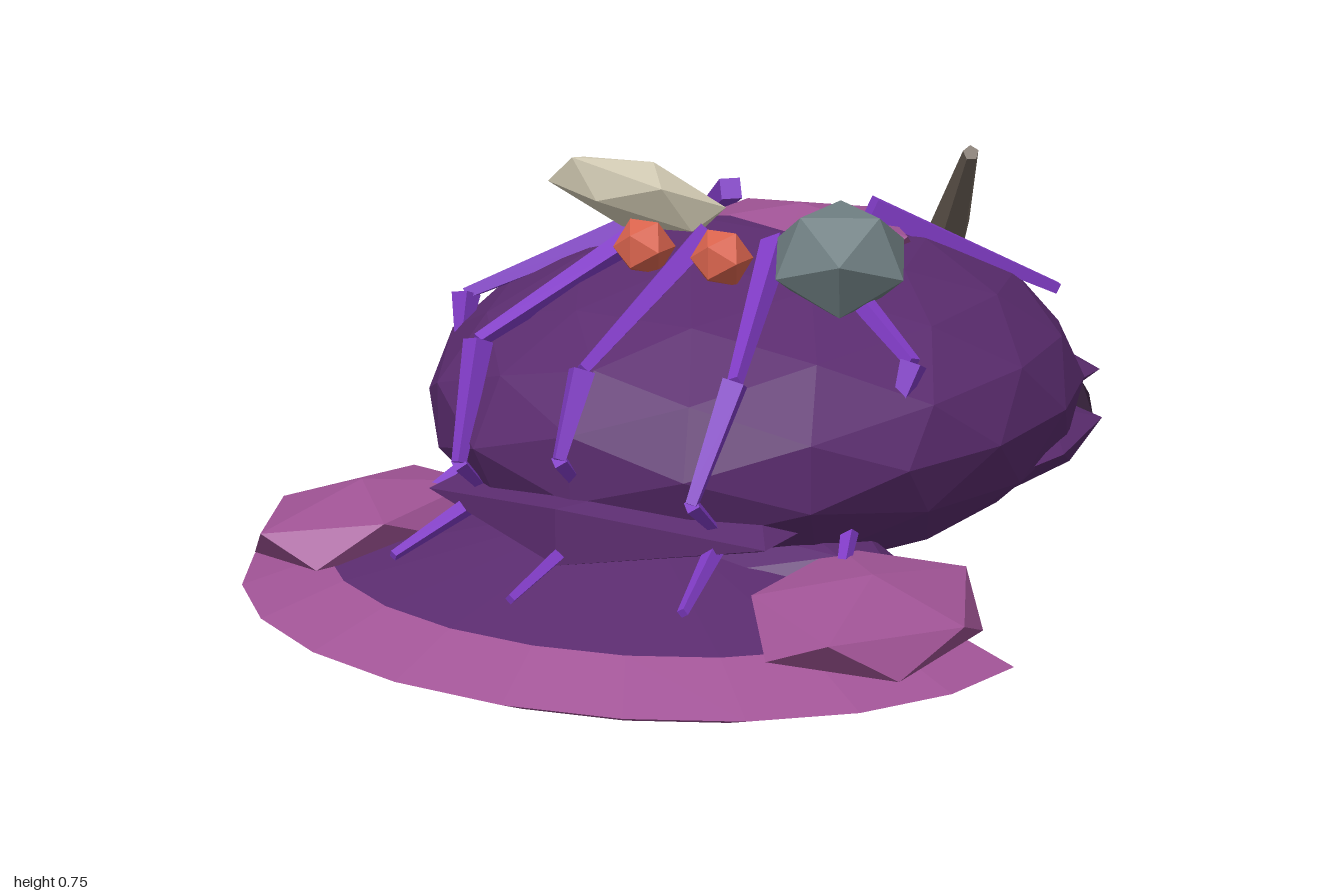
import * as THREE from 'three';

const mat = (name, color) => Object.assign(new THREE.MeshStandardMaterial({ color, flatShading: true }), { name });
const V = (x, y, z) => new THREE.Vector3(x, y, z);
const POLE = -1.017; // tips an icosahedron so that one corner points up

export function createModel() {
  const model = new THREE.Group();
  model.name = 'oozeCreature';
  const purple = mat('slimePurple', 0x5b2c6f);
  const dark = mat('tailDark', 0x352039);
  const pink = mat('rimPink', 0xa15496);
  const violet = mat('veinViolet', 0x813cc6);
  const red = mat('eyeRed', 0xd9634d);
  const grey = mat('stoneGrey', 0x6f7f82);
  const bone = mat('boneCream', 0xddd5bd);
  const wood = mat('woodBrown', 0x766a5f);

  function add(name, geometry, material, pos = [0, 0, 0]) {
    const mesh = new THREE.Mesh(geometry, material);
    mesh.name = name;
    mesh.position.set(...pos);
    model.add(mesh);
    return mesh;
  }

  // Faceted ellipsoid; lump pushes the corners in and out by a smooth rule
  function blob(name, material, pos, size, { detail = 1, lump = 0, turn = 0, tip = 0 } = {}) {
    const g = new THREE.IcosahedronGeometry(1, detail).rotateX(tip).rotateY(turn);
    const p = g.attributes.position;
    for (let i = 0; i < p.count; i++) {
      const v = V().fromBufferAttribute(p, i);
      v.multiplyScalar(1 + lump * Math.sin(5 * v.x + 2 * pos[2]) * Math.cos(4 * v.z + 3 * v.y));
      p.setXYZ(i, v.x * size[0], v.y * size[1], v.z * size[2]);
    }
    g.computeVertexNormals();
    return add(name, g, material, pos);
  }

  // Tapered stick between two points
  function spike(name, material, a, b, ra, rb, sides = 4) {
    const d = b.clone().sub(a);
    const m = add(name, new THREE.CylinderGeometry(rb, ra, d.length(), sides), material);
    m.position.copy(a).addScaledVector(d, 0.5);
    m.quaternion.setFromUnitVectors(V(0, 1, 0), d.normalize());
  }

  // Body, a lopsided skirt under it, and bulges behind and in front
  blob('body', purple, [0, 0.3, 0.06], [0.55, 0.28, 0.6], { detail: 2, lump: 0.015 });
  blob('skirt', purple, [0, 0.13, -0.08], [0.55, 0.1, 0.48], { lump: 0.04 }).rotation.z = 0.16;
  blob('rearBulge', purple, [0, 0.217, -0.385], [0.41, 0.145, 0.365], { detail: 0 });
  blob('frontBulge', purple, [0, 0.2, 0.4], [0.38, 0.09, 0.34], { detail: 0 });
  blob('backPatch', pink, [0.02, 0.535, -0.06], [0.235, 0.06, 0.19], { detail: 0, tip: POLE, turn: 0.3 });

  // Tail, in shrinking lumps
  blob('tailBase', dark, [0, 0.1, -0.42], [0.33, 0.09, 0.36], { lump: 0.05, turn: 0.4 });
  blob('tailMiddle', dark, [0, 0.085, -0.64], [0.29, 0.075, 0.29], { lump: 0.04, turn: 0.2 });
  blob('tailTip', dark, [0, 0.06, -0.82], [0.16, 0.055, 0.185], { turn: 0.1 });
  blob('belly', dark, [0, 0.09, -0.12], [0.3, 0.08, 0.32], { lump: 0.03 });

  // Half-round apron in front: sole, rim and top from one profile
  const profile = [[0, 0], [0.855, 0], [1, 0.035], [0.78, 0.09], [0, 0.2]].map(([r, y]) => new THREE.Vector2(r, y));
  const apron = (name, from, to, material) => {
    const g = new THREE.LatheGeometry(profile.slice(from, to), 11, -Math.PI / 2, Math.PI);
    add(name, g.scale(0.7, 1, 0.55), material, [0, 0, 0.45]);
  };
  apron('apronSole', 0, 2, purple);
  apron('apronRim', 1, 4, pink);
  apron('apronTop', 3, 5, purple);
  const section = [...profile.slice(1), ...profile.slice(1, 4).reverse().map(p => new THREE.Vector2(-p.x, p.y))];
  add('apronBack', new THREE.ShapeGeometry(new THREE.Shape(section)).scale(0.7, 1, 1).rotateY(Math.PI), purple, [0, 0, 0.45]);
  // Wedge under the chin that joins the apron to the body
  blob('chin', purple, [0, 0.11, 0.38], [0.46, 0.1, 0.2], { lump: 0.02 });

  // Centre vein, then mirrored veins: shoulder, knee, bend, inner point, tip
  const veins = [
    [[0.12, 0.59, 0.2], [0.245, 0.455, 0.54], [0.222, 0.275, 0.635], [0.225, 0.2, 0.55], [0.275, 0.14, 0.75]],
    [[0.14, 0.6, 0.14], [0.435, 0.455, 0.3], [0.425, 0.39, 0.33], [0.35, 0.21, 0.34], [0.41, 0.14, 0.49]],
    [[0.14, 0.595, -0.09], [0.38, 0.43, -0.33]],
  ];
  const grow = (points, s) => {
    const pts = points.map(([x, y, z]) => V(s * x, y, z));
    for (let i = 1; i < pts.length; i++) {
      const r = [0, 0.026, 0.025, 0.015, 0.018][i];
      spike('vein', violet, pts[i - 1], pts[i], r, r * 0.5);
    }
  };
  grow([[0, 0.595, 0.23], [0, 0.455, 0.605], [0, 0.325, 0.675], [0, 0.2, 0.55], [0, 0.135, 0.82]], 1);

  for (const s of [1, -1]) {
    for (const v of veins) grow(v, s);
    blob(s > 0 ? 'leftSideLobe' : 'rightSideLobe', pink, [s * 0.485, 0.112, 0.535], [0.19, 0.066, 0.26],
      { detail: 0, tip: POLE, turn: s * 0.3 }).rotation.z = -s * 0.12;
    add(s > 0 ? 'leftEye' : 'rightEye', new THREE.IcosahedronGeometry(0.052), red, [s * 0.075, 0.583, 0.297]);
  }

  // Debris stuck on the back
  blob('stone', grey, [0.26, 0.59, 0.23], [0.122, 0.1, 0.122], { detail: 0, tip: 0.4, turn: 0.5 });
  const shard = blob('boneShard', bone, [-0.11, 0.66, 0.26], [0.066, 0.19, 0.058], { detail: 0, turn: 0.4 });
  shard.quaternion.setFromUnitVectors(V(0, 1, 0), V(-0.14, 0.13, 0.28).normalize());
  spike('splinter', wood, V(0.1, 0.475, -0.46), V(0.285, 0.69, -0.18), 0.037, 0.014, 5);

  return model;
}
